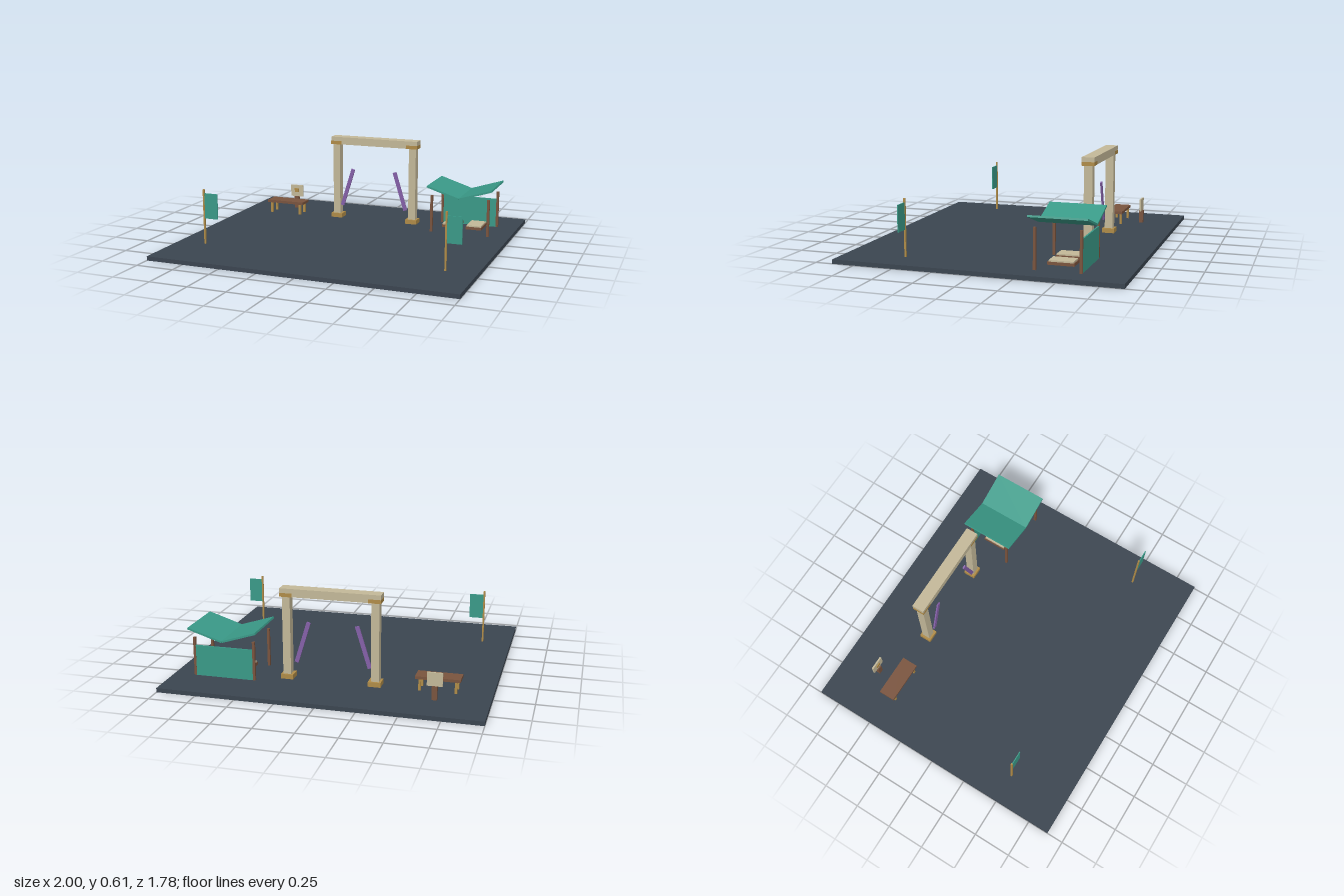
import * as THREE from 'three';

const mat = (color) => new THREE.MeshStandardMaterial({ color });

export function createModel() {
  const root = new THREE.Group();
  root.name = 'campCourtyard';

  const slate = mat(0x3b4550);
  const stone = mat(0xc4b999);
  const gold = mat(0xb08c48);
  const wood = mat(0x7a543e);
  const cloth = mat(0x3a9a88);
  const purple = mat(0x8560a8);

  const group = (name) => {
    const g = new THREE.Group();
    g.name = name;
    root.add(g);
    return g;
  };
  // Box given by its centre x/z, its bottom y and its size
  const box = (parent, name, material, [w, h, d], [x, y, z]) => {
    const m = new THREE.Mesh(new THREE.BoxGeometry(w, h, d), material);
    m.name = name;
    m.position.set(x, y + h / 2, z);
    parent.add(m);
    return m;
  };

  const G = 0.027; // top of the ground slab
  box(root, 'ground', slate, [2, G, 1.78], [0, 0, 0]);

  // Gateway: two pillars with base blocks and capitals, a lintel, slanted drapes
  const gate = group('gateway');
  box(gate, 'lintel', stone, [0.636, 0.052, 0.08], [0, 0.56, -0.5]);
  for (const s of [-1, 1]) {
    box(gate, 'pillar', stone, [0.05, 0.54, 0.054], [s * 0.281, G, -0.5]);
    box(gate, 'pillarBase', gold, [0.08, 0.03, 0.08], [s * 0.279, G, -0.5]);
    box(gate, 'capital', gold, [0.08, 0.024, 0.081], [s * 0.279, 0.559, -0.5]);
    const drape = box(gate, 'drape', purple, [0.026, 0.277, 0.01], [s * 0.195, 0.114, -0.47]);
    drape.rotation.z = s * 0.3;
  }

  // Shelter: four posts, back cloth, valley roof and two seats
  const shelter = group('shelter');
  const cx = 0.663;
  for (const s of [-1, 1]) {
    for (const z of [-0.333, -0.609])
      box(shelter, 'shelterPost', wood, [0.016, 0.25, 0.016], [cx + s * 0.195, G, z]);
    const roof = box(shelter, 'roofPanel', cloth, [0.231, 0.012, 0.356], [cx + s * 0.111, 0.302, -0.474]);
    roof.rotation.z = s * 0.31;
    const sx = cx + s * 0.083;
    box(shelter, 'seatBase', wood, [0.108, 0.018, 0.162], [sx, 0.048, -0.472]);
    box(shelter, 'seatCushion', stone, [0.1, 0.009, 0.15], [sx, 0.066, -0.472]);
  }
  box(shelter, 'backCloth', cloth, [0.376, 0.198, 0.01], [cx, G, -0.611]);

  // Bench
  const bench = group('bench');
  box(bench, 'benchTop', wood, [0.278, 0.018, 0.108], [-0.668, 0.102, -0.476]);
  for (const sx of [-1, 1])
    for (const sz of [-1, 1])
      box(bench, 'benchLeg', gold, [0.015, 0.076, 0.015], [-0.668 + sx * 0.111, G, -0.476 + sz * 0.04]);

  // Notice board on a stub post
  const sign = group('noticeBoard');
  box(sign, 'signPost', wood, [0.032, 0.086, 0.028], [-0.67, G, -0.639]);
  box(sign, 'signPanel', stone, [0.095, 0.085, 0.011], [-0.67, 0.112, -0.639]);
  box(sign, 'signPlaque', gold, [0.032, 0.028, 0.006], [-0.67, 0.145, -0.631]);

  // Flags, both flying towards +x
  for (const x of [-0.807, 0.805]) {
    const flag = group('flag');
    box(flag, 'flagPole', gold, [0.011, 0.36, 0.011], [x, G, 0.5]);
    box(flag, 'flagCloth', cloth, [0.093, 0.166, 0.006], [x + 0.051, 0.196, 0.5]);
  }

  return root;
}
